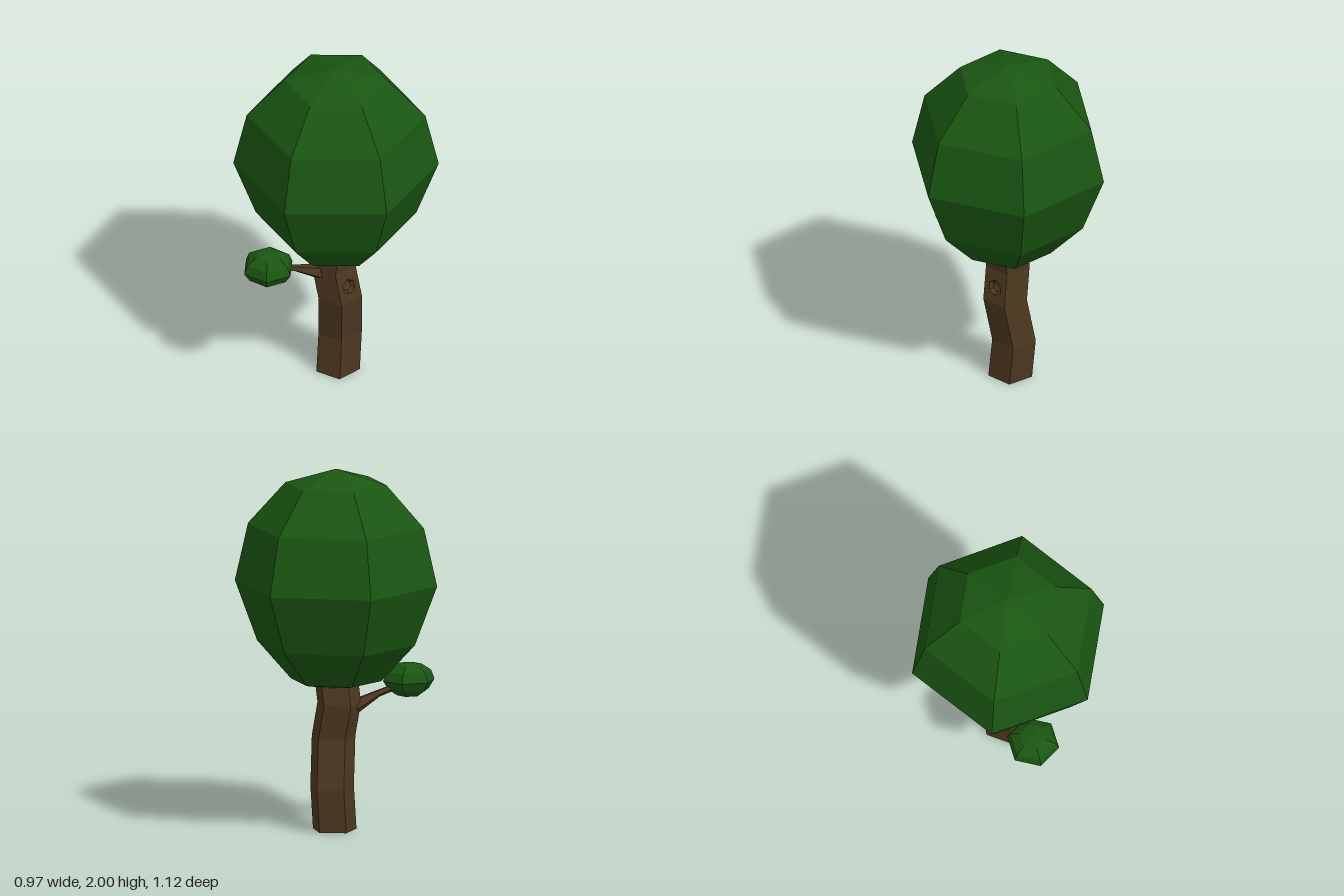
import * as THREE from 'three';

const bark = new THREE.MeshStandardMaterial({ color: 0x4d3820, flatShading: true });
const leaf = new THREE.MeshStandardMaterial({ color: 0x1a5612, flatShading: true });
const UP = new THREE.Vector3(0, 1, 0);
const V2 = (x, y) => new THREE.Vector2(x, y);

// Five-sided rings [x, y, z, radius], all square to one direction
function makeRings(rows, dir) {
  const q = new THREE.Quaternion().setFromUnitVectors(UP, dir.clone().normalize());
  return rows.map(([x, y, z, r]) => Array.from({ length: 5 }, (_, k) => {
    const a = (0.5 + k) * Math.PI * 2 / 5;
    return new THREE.Vector3(Math.sin(a) * r, 0, Math.cos(a) * r)
      .applyQuaternion(q).add(new THREE.Vector3(x, y, z));
  }));
}

// Skin over rings with closed ends; skip(i, k) leaves a side open
function loft(rings, skip = () => false) {
  const pts = [];
  for (let i = 0; i < rings.length - 1; i++) {
    for (let k = 0; k < 5; k++) {
      if (skip(i, k)) continue;
      const n = (k + 1) % 5;
      const a = rings[i][k], b = rings[i][n], c = rings[i + 1][n], d = rings[i + 1][k];
      pts.push(a, b, c, a, c, d);
    }
  }
  const first = rings[0], last = rings[rings.length - 1];
  for (let k = 1; k < 4; k++) {
    pts.push(first[0], first[k + 1], first[k], last[0], last[k], last[k + 1]);
  }
  const g = new THREE.BufferGeometry().setFromPoints(pts);
  g.computeVertexNormals();
  return g;
}

function add(parent, name, geometry, material) {
  const mesh = new THREE.Mesh(geometry, material);
  mesh.name = name;
  parent.add(mesh);
  return mesh;
}

export function createModel() {
  const tree = new THREE.Group();
  tree.name = 'tree';

  // Crooked trunk, one side left open for the knot hole
  const trunkRings = makeRings([
    [0, 0, -0.015, 0.125],
    [0, 0.24, -0.037, 0.125],
    [0.025, 0.51, 0.005, 0.125],
    [-0.015, 0.7, 0.005, 0.125],
    [0.025, 0.96, 0.005, 0.125],
  ], UP);
  add(tree, 'trunk', loft(trunkRings, (i, k) => i === 2 && k === 0), bark);

  // Side panel with a six-sided hole and its hollow
  const origin = trunkRings[2][0];
  const e1 = trunkRings[2][1].clone().sub(origin);
  const e2 = trunkRings[3][0].clone().sub(origin);
  const w = e1.length(), h = e2.length(), r = 0.045;
  e1.normalize();
  e2.normalize();
  const frame = new THREE.Matrix4()
    .makeBasis(e1, e2, e1.clone().cross(e2).normalize()).setPosition(origin);
  const cx = w * 0.5, cy = h * 0.47;
  const panel = new THREE.Shape([V2(0, 0), V2(w, 0), V2(w, h), V2(0, h)]);
  panel.holes.push(new THREE.Path(Array.from({ length: 6 }, (_, k) =>
    V2(cx + r * Math.sin(k * Math.PI / 3), cy + r * Math.cos(k * Math.PI / 3)))));
  add(tree, 'trunkPanel', new THREE.ShapeGeometry(panel).applyMatrix4(frame), bark);
  const hollow = new THREE.LatheGeometry([V2(r, 0), V2(0.03, -0.02), V2(0, -0.024)], 6);
  hollow.rotateX(Math.PI / 2).translate(cx, cy, 0).applyMatrix4(frame);
  add(tree, 'knotHole', hollow, bark);

  // Tapered side branch
  add(tree, 'branch', loft(makeRings([
    [-0.04, 0.655, 0.05, 0.05],
    [-0.075, 0.692, 0.115, 0.038],
    [-0.13, 0.742, 0.205, 0.02],
    [-0.2, 0.785, 0.32, 0.018],
  ], new THREE.Vector3(-0.16, 0.13, 0.27))), bark);

  // Six-sided foliage, large crown and small tuft
  const foliage = new THREE.LatheGeometry([
    V2(0, 0), V2(0.25, 0.05), V2(0.437, 0.255), V2(0.56, 0.585),
    V2(0.487, 0.905), V2(0.28, 1.137), V2(0, 1.22),
  ], 6);
  add(tree, 'crown', foliage, leaf).position.y = 0.78;
  const tuft = add(tree, 'branchFoliage', foliage, leaf);
  tuft.position.set(-0.22, 0.714, 0.355);
  tuft.scale.set(0.26, 0.156, 0.26);
  tuft.rotation.y = THREE.MathUtils.degToRad(26);

  return tree;
}
